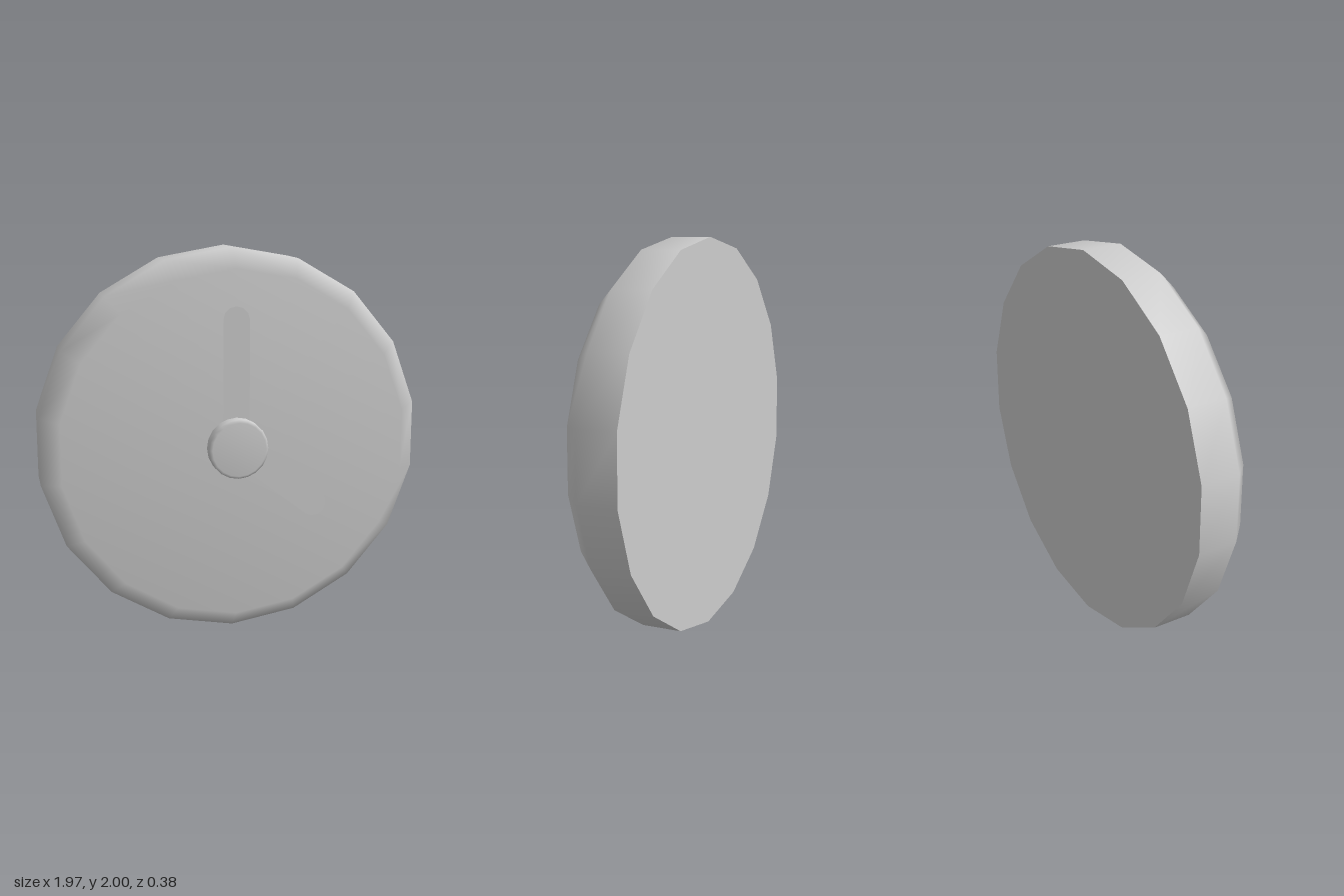
import * as THREE from 'three';

const material = new THREE.MeshStandardMaterial({ color: 0xcccccc });
const thin = new THREE.MeshStandardMaterial({ color: 0xcccccc, side: THREE.DoubleSide });

function part(name, geometry, mat = material) {
  const mesh = new THREE.Mesh(geometry, mat);
  mesh.name = name;
  return mesh;
}

// Smooth turned solid whose axis points along +z; profile is [radius, z] from back to front
function turned(profile, sides) {
  const points = profile.map(([r, z]) => new THREE.Vector2(r, z));
  return new THREE.LatheGeometry(points, sides).rotateX(Math.PI / 2);
}

// Flat hand with a rounded tip, pointing along +x from the pivot
function handGeometry(length, halfWidth) {
  const shape = new THREE.Shape();
  shape.moveTo(0, -halfWidth);
  const steps = 6;
  for (let i = 0; i <= steps; i++) {
    const a = -Math.PI / 2 + (Math.PI * i) / steps;
    shape.lineTo(length - halfWidth + Math.cos(a) * halfWidth, Math.sin(a) * halfWidth);
  }
  shape.lineTo(0, halfWidth);
  return new THREE.ShapeGeometry(shape);
}

export function createModel() {
  const clock = new THREE.Group();
  clock.name = 'wallClock';
  const body = new THREE.Group();
  body.name = 'clockBody';
  body.position.y = 1;
  clock.add(body);

  // Eighteen-sided case with a bevelled front rim
  body.add(part('case', turned([[1, -0.19], [1, 0.02], [0.9, 0.12], [0, 0.12]], 18)));

  // Flat back with a crisp edge
  const back = part('backPlate', new THREE.CircleGeometry(1, 18, Math.PI / 2));
  back.rotation.y = Math.PI;
  back.position.z = -0.19;
  body.add(back);

  // Hands lying just above the face
  const hands = [
    ['minuteHand', 0.715, Math.PI / 2],
    ['hourHand', 0.59, THREE.MathUtils.degToRad(-38)],
  ];
  for (const [name, length, angle] of hands) {
    const hand = part(name, handGeometry(length, 0.068), thin);
    hand.rotation.z = angle;
    hand.position.z = 0.123;
    body.add(hand);
  }

  // Central knob with a small bevel
  body.add(part('knob', turned([[0.153, 0.12], [0.153, 0.178], [0.138, 0.192], [0, 0.192]], 20)));

  return clock;
}
